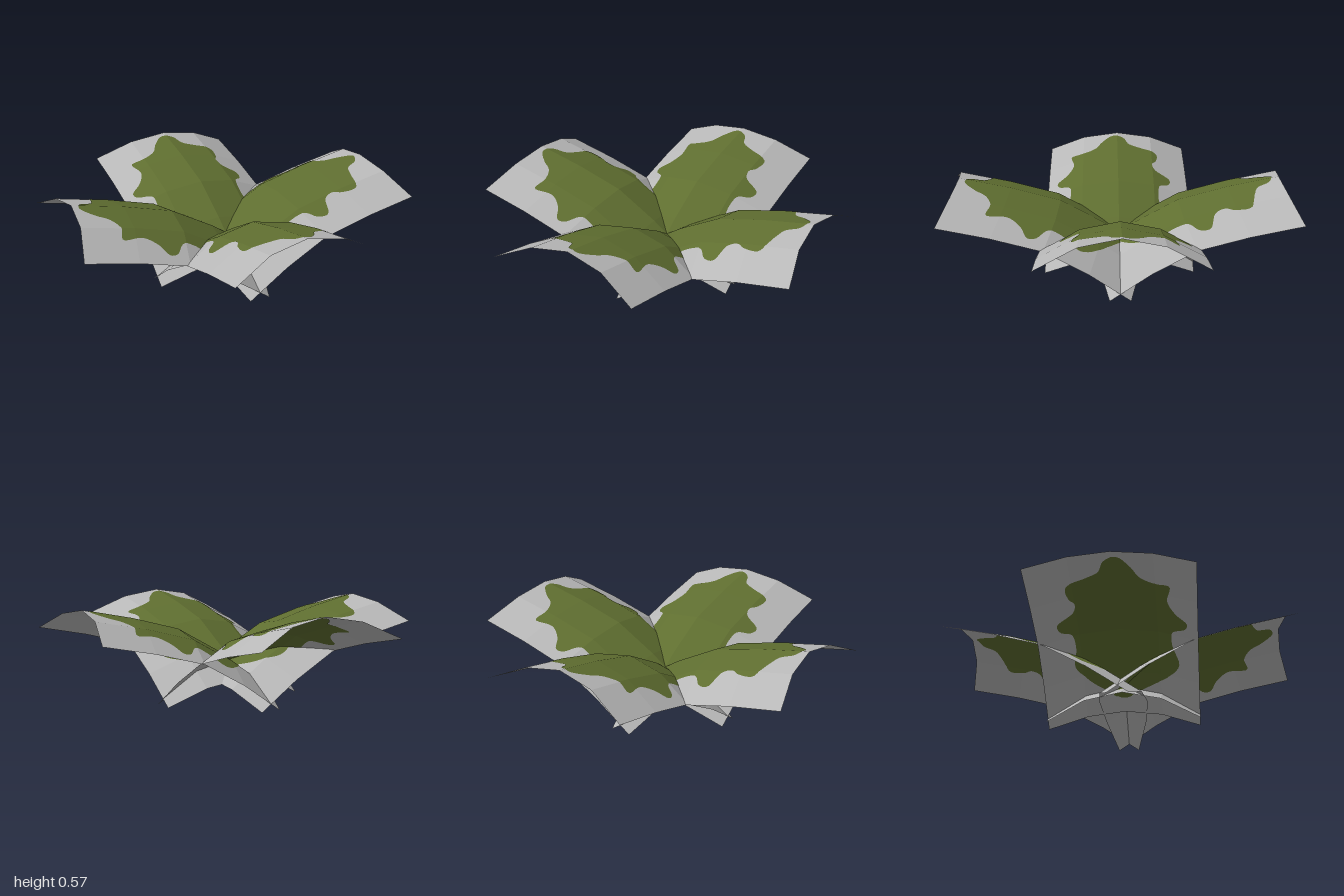
import * as THREE from 'three';

const cardMaterial = new THREE.MeshStandardMaterial({ color: 0xb8b8b8, side: THREE.DoubleSide });
cardMaterial.name = 'pale grey';
const leafMaterial = new THREE.MeshStandardMaterial({ color: 0x5f6e30, side: THREE.DoubleSide });
leafMaterial.name = 'leaf green';

// Side edge of a card: [distance outwards, height], inner end first
const ROWS = [[-0.06, 0], [0.17, 0.16], [0.42, 0.3], [0.705, 0.378], [1, 0.44]];
// Arch across a card: [sideways, share of full lift]
const ARCH = [[-0.44, 0], [-0.22, 0.73], [0, 1], [0.22, 0.73], [0.44, 0]];
const LIFT_BACK = 0.08, LIFT_UP = 0.135;

function lerpTable(table, t) {
  let i = 0;
  while (i < table.length - 2 && t > table[i + 1][0]) i++;
  const [a, b] = [table[i], table[i + 1]];
  return a[1] + (b[1] - a[1]) * (t - a[0]) / (b[0] - a[0]);
}

// Card coordinates (sideways w, outwards u) to space, for a card pointing to +z
function onCard(w, u, offset) {
  const f = lerpTable(ARCH, w);
  return new THREE.Vector3(
    w,
    lerpTable(ROWS, u) + LIFT_UP * f + offset * 0.86,
    u - LIFT_BACK * f - offset * 0.5
  );
}

// Keep the part of a polygon where sign * (axis - limit) >= 0
function clip(poly, axis, limit, sign) {
  const out = [];
  poly.forEach((p, i) => {
    const q = poly[(i + 1) % poly.length];
    const dp = sign * (p[axis] - limit), dq = sign * (q[axis] - limit);
    if (dp >= 0) out.push(p);
    if ((dp >= 0) !== (dq >= 0)) out.push(p.clone().lerp(q, dp / (dp - dq)));
  });
  return out;
}

// Fold a flat outline over the facets of a card
function foldedGeometry(outline, offset) {
  const points = [];
  for (let i = 0; i < ROWS.length - 1; i++) {
    for (let j = 0; j < ARCH.length - 1; j++) {
      let poly = clip(outline, 'y', ROWS[i][0], 1);
      poly = clip(poly, 'y', ROWS[i + 1][0], -1);
      poly = clip(poly, 'x', ARCH[j][0], 1);
      poly = clip(poly, 'x', ARCH[j + 1][0], -1);
      if (poly.length < 3) continue;
      for (const face of THREE.ShapeUtils.triangulateShape(poly, [])) {
        const [a, b, c] = face.map(k => onCard(poly[k].x, poly[k].y, offset));
        const n = b.clone().sub(a).cross(c.clone().sub(a));
        if (n.length() < 1e-8) continue;
        points.push(...(n.y > 0 ? [a, b, c] : [a, c, b]));
      }
    }
  }
  const geometry = new THREE.BufferGeometry().setFromPoints(points);
  geometry.computeVertexNormals();
  return geometry;
}

// Toothed leaf outline: [sideways, outwards] as seen from above
const LEAF = [
  [0.03, 0.885], [0.10, 0.82], [0.14, 0.755], [0.22, 0.72], [0.295, 0.74], [0.28, 0.62],
  [0.32, 0.55], [0.38, 0.51], [0.37, 0.465], [0.30, 0.40], [0.295, 0.32], [0.33, 0.22],
  [0.26, 0.11], [0.12, 0.01], [0, -0.06], [-0.09, 0], [-0.19, 0.08], [-0.26, 0.19],
  [-0.245, 0.29], [-0.26, 0.385], [-0.315, 0.44], [-0.325, 0.50], [-0.235, 0.535],
  [-0.22, 0.59], [-0.245, 0.64], [-0.25, 0.735], [-0.14, 0.765], [-0.075, 0.79], [-0.04, 0.86]
];

export function createModel() {
  const model = new THREE.Group();
  model.name = 'leafRosette';

  const cardOutline = [[-0.44, -0.06], [0.44, -0.06], [0.44, 1], [-0.44, 1]]
    .map(([x, y]) => new THREE.Vector2(x, y));
  const curve = new THREE.CatmullRomCurve3(
    LEAF.map(([w, z]) => new THREE.Vector3(w, z + LIFT_BACK * lerpTable(ARCH, w), 0)), true);
  const leafOutline = curve.getPoints(140).slice(0, -1).map(p => new THREE.Vector2(p.x, p.y));

  const cardGeometry = foldedGeometry(cardOutline, 0);
  const topGeometry = foldedGeometry(leafOutline, 0.002);
  const undersideGeometry = foldedGeometry(leafOutline, -0.002);

  // Four identical leaves crossing at the centre
  for (let i = 0; i < 4; i++) {
    const leaf = new THREE.Group();
    leaf.name = `leaf${i + 1}`;
    const parts = [
      ['leafCard', cardGeometry, cardMaterial],
      ['leafTop', topGeometry, leafMaterial],
      ['leafUnderside', undersideGeometry, leafMaterial]
    ];
    for (const [name, geometry, material] of parts) {
      const mesh = new THREE.Mesh(geometry, material);
      mesh.name = name;
      leaf.add(mesh);
    }
    leaf.rotation.y = i * Math.PI / 2;
    model.add(leaf);
  }
  return model;
}
